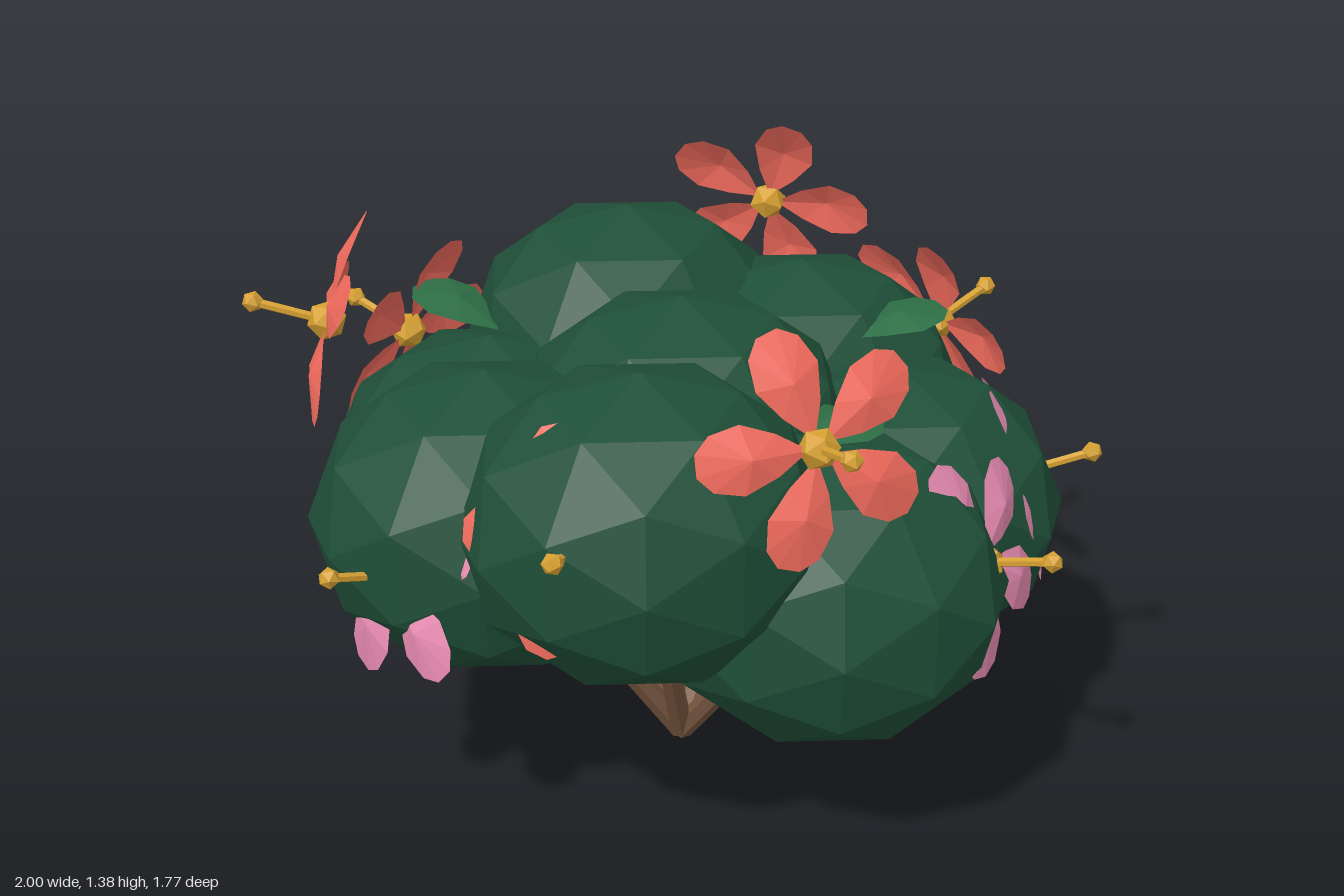
import * as THREE from 'three';

const mat = (color, side = THREE.FrontSide) =>
  new THREE.MeshStandardMaterial({ color, side, flatShading: true, roughness: 0.8 });

const M = {
  bark: mat(0x795840),
  foliage: mat(0x1f4f38),
  leaf: mat(0x2d6e45, THREE.DoubleSide),
  coral: mat(0xf06a5c, THREE.DoubleSide),
  pink: mat(0xe68ab0, THREE.DoubleSide),
  gold: mat(0xd6a032),
};

const add = (parent, name, geometry, material) => {
  const mesh = new THREE.Mesh(geometry, material);
  mesh.name = name;
  parent.add(mesh);
  return mesh;
};

// Rod between two points
function rod(parent, name, a, b, rBase, rTip, material) {
  const dir = b.clone().sub(a);
  const mesh = add(parent, name, new THREE.CylinderGeometry(rTip, rBase, dir.length(), 6), material);
  mesh.position.copy(a).addScaledVector(dir, 0.5);
  mesh.quaternion.setFromUnitVectors(new THREE.Vector3(0, 1, 0), dir.normalize());
  return mesh;
}

// Blade along +x, lying in xy: a fan of facets around a raised middle
function bladeGeometry() {
  const half = [[0.09, 0.045], [0.165, 0.075], [0.23, 0.06], [0.262, 0.025]];
  const rim = [[0.02, 0], ...half.map(([x, y]) => [x, -y]), ...half.slice().reverse()];
  const drop = (x) => -0.4 * x * x;
  const pos = [];
  rim.forEach(([x, y], i) => {
    const [x2, y2] = rim[(i + 1) % rim.length];
    pos.push(0.15, 0, 0.012, x, y, drop(x), x2, y2, drop(x2));
  });
  const g = new THREE.BufferGeometry();
  g.setAttribute('position', new THREE.Float32BufferAttribute(pos, 3));
  g.computeVertexNormals();
  return g;
}

// Heights cycle through low, high and middle
const cycle = (i, low, high, middle) => [middle, low, high][i % 3];

export function createModel() {
  const root = new THREE.Group();
  root.name = 'floweringShrub';
  const blade = bladeGeometry();
  const clump = new THREE.IcosahedronGeometry(1, 1);

  // Foliage clumps in a ring, each carried by a branch
  const branches = new THREE.Group();
  branches.name = 'branches';
  const foliage = new THREE.Group();
  foliage.name = 'foliage';
  root.add(branches, foliage);
  const addClump = (x, y, z) => {
    const mesh = add(foliage, 'foliageClump', clump, M.foliage);
    mesh.position.set(x, y, z);
    mesh.scale.set(0.41, 0.36, 0.385);
  };
  for (let i = 1; i <= 7; i++) {
    const a = ((i % 7) / 7) * Math.PI * 2;
    const y = cycle(i, 0.64, 0.86, 0.75);
    const x = 0.5 * Math.cos(a), z = 0.5 * Math.sin(a);
    addClump(x, y, z);
    rod(branches, 'branch', new THREE.Vector3(0, 0.02, 0),
      new THREE.Vector3(x, y, z).multiplyScalar(0.85), 0.03, 0.022, M.bark);
  }
  addClump(0, 0.825, 0);

  // Flowers around the outside, facing outward and slightly up
  for (let i = 1; i <= 10; i++) {
    const a = (i / 10) * Math.PI * 2;
    const flower = new THREE.Group();
    flower.name = 'flower';
    flower.position.set(0.81 * Math.cos(a), cycle(i, 0.715, 1.14, 0.92), 0.741 * Math.sin(a));
    const facing = new THREE.Vector3(Math.cos(a), 0.3, Math.sin(a));
    flower.lookAt(flower.position.clone().add(facing));
    for (let k = 0; k < 5; k++) {
      const petal = add(flower, 'petal', blade, i % 3 === 1 ? M.pink : M.coral);
      petal.rotation.z = Math.PI + (k / 5) * Math.PI * 2;
    }
    add(flower, 'flowerCentre', new THREE.IcosahedronGeometry(0.047, 0), M.gold);
    rod(flower, 'stamen', new THREE.Vector3(), new THREE.Vector3(0, 0, 0.172), 0.011, 0.011, M.gold);
    add(flower, 'stamenTip', new THREE.IcosahedronGeometry(0.025, 0), M.gold).position.z = 0.172;
    root.add(flower);
  }

  // Loose leaves: centre, heading (degrees around y) and tilt of the outer end
  const leaves = [
    [0.33, 1.04, 0.35, 80, 0.2],
    [0.52, 1.03, -0.21, -20, 0.3],
    [-0.52, 1.02, -0.37, 215, 0.4],
    [0.15, 0.42, -0.55, -75, 0.55],
    [-0.2, 0.5, 0.3, 120, 0.2],
  ];
  for (const [x, y, z, heading, tilt] of leaves) {
    const leaf = new THREE.Group();
    leaf.name = 'leaf';
    leaf.position.set(x, y, z);
    leaf.rotation.set(0, -THREE.MathUtils.degToRad(heading), tilt);
    const mesh = add(leaf, 'leafBlade', blade, M.leaf);
    mesh.rotation.x = -Math.PI / 2;
    mesh.position.x = -0.14;
    mesh.scale.y = 1.25;
    root.add(leaf);
  }
  return root;
}
